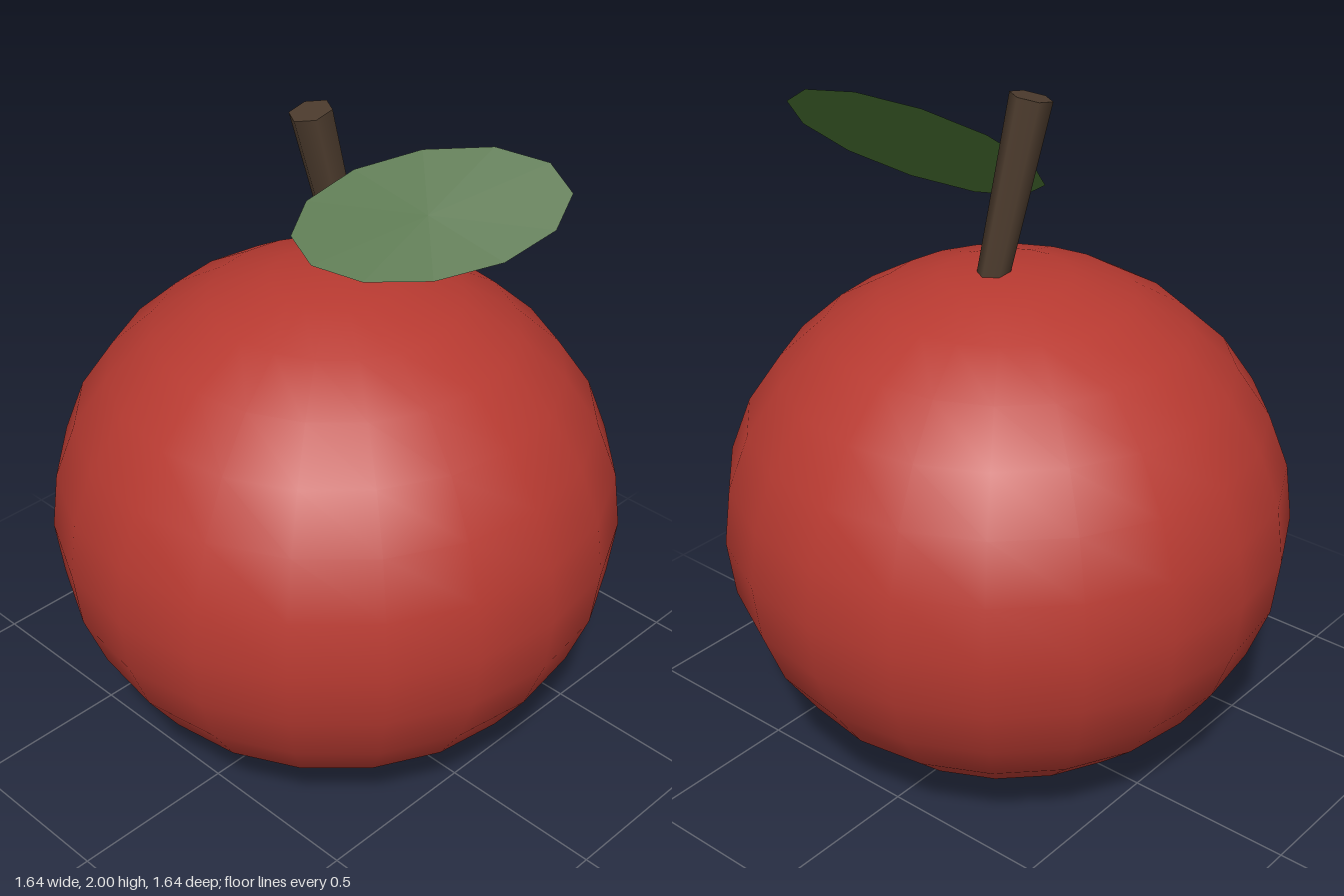
import * as THREE from 'three';

const paint = (name, color, extra = {}) => {
  const m = new THREE.MeshStandardMaterial({ color, ...extra });
  m.name = name;
  return m;
};

export function createModel() {
  const red = paint('apple red', 0xb83a31);
  const brown = paint('bark brown', 0x4c3b2d);
  const green = paint('leaf green', 0x42692f, { side: THREE.DoubleSide });

  const group = new THREE.Group();
  group.name = 'apple';
  const add = (name, geometry, material) => {
    const mesh = new THREE.Mesh(geometry, material);
    mesh.name = name;
    group.add(mesh);
    return mesh;
  };

  // Fruit: smooth, slightly squashed ball resting on the ground
  const fruit = add('fruit', new THREE.SphereGeometry(0.82, 20, 14), red);
  fruit.scale.y = 0.923;
  fruit.position.y = 0.757;

  // Stem: six-sided, wider at the tip, leaning forward and to the right
  const stem = add('stem', new THREE.CylinderGeometry(0.06, 0.042, 0.62, 6), brown);
  stem.position.set(0, 1.685, 0);
  stem.rotation.set(0.2, 0, 0.1);

  // Leaf: flat twelve-sided ellipse, oriented by its long, short and normal axes
  const leaf = add('leaf', new THREE.CircleGeometry(1, 12).scale(0.375, 0.17, 1), green);
  const long = new THREE.Vector3(0.824, 0.274, -0.497).normalize();
  const normal = new THREE.Vector3(0.281, 0.563, 0.776).normalize();
  const short = new THREE.Vector3().crossVectors(normal, long).normalize();
  normal.crossVectors(long, short);
  leaf.quaternion.setFromRotationMatrix(new THREE.Matrix4().makeBasis(long, short, normal));
  leaf.position.set(0.328, 1.795, 0);

  return group;
}
